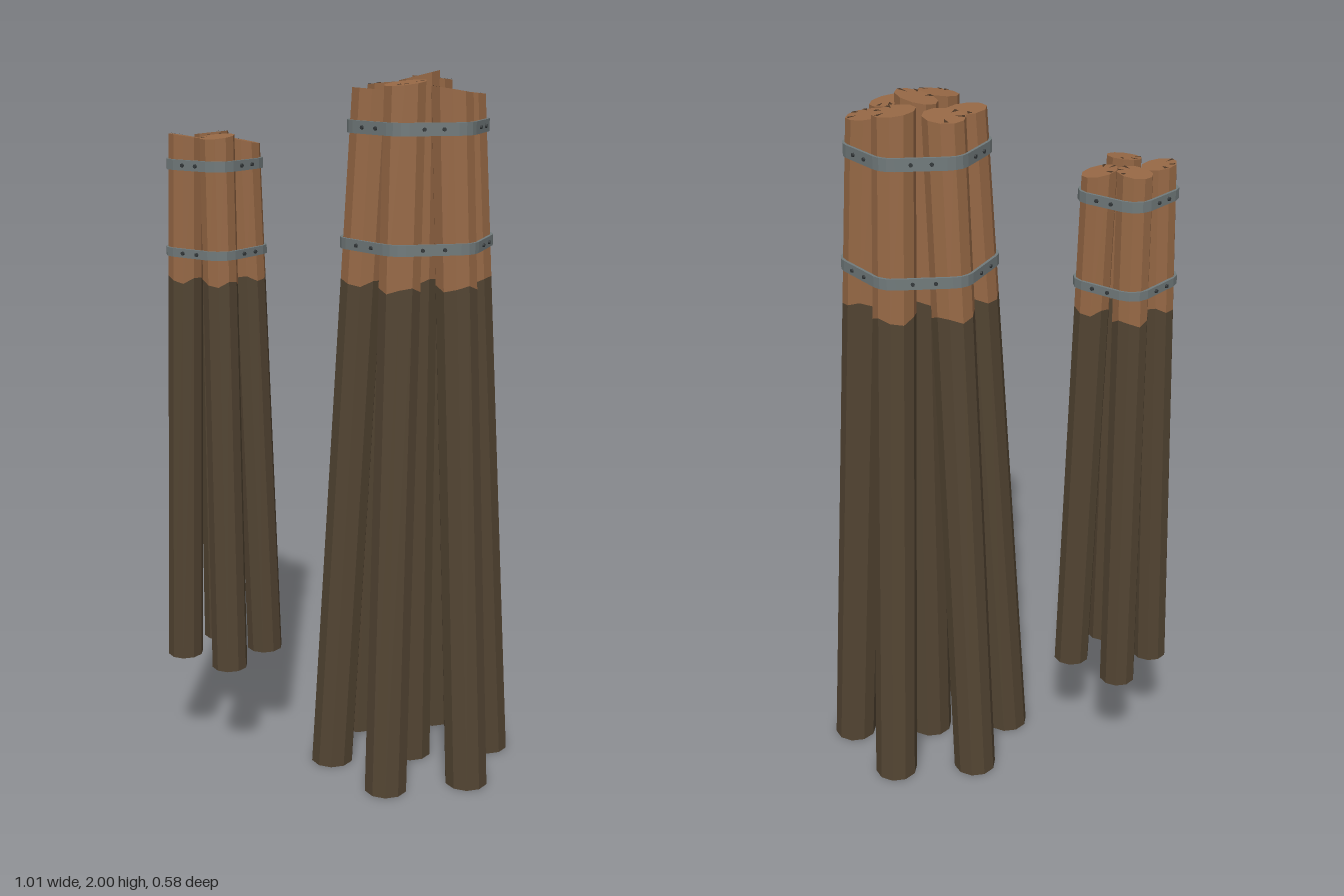
import * as THREE from 'three';

const mat = (name, color, side = THREE.FrontSide) => {
  const m = new THREE.MeshStandardMaterial({ color, side });
  m.name = name;
  return m;
};

const SIDES = 10;
const lerp = THREE.MathUtils.lerp;

export function createModel() {
  const bark = mat('wet dark wood', 0x524432);
  const wood = mat('dry brown wood', 0x966845);
  const crackMat = mat('crack', 0x4a3524, THREE.DoubleSide);
  const steel = mat('grey steel', 0x717a7b);
  const rivetMat = mat('dark rivet', 0x34393b);

  let seed = 7;
  const rand = () => (seed = (seed * 16807) % 2147483647) / 2147483647;

  const add = (parent, name, geo, material) => {
    const mesh = new THREE.Mesh(geo, material);
    mesh.name = name;
    parent.add(mesh);
    return mesh;
  };

  // Leaning log piece: lowY and highY give the height of each end from the rim direction
  function logPiece(axis, lowY, highY) {
    const geo = new THREE.CylinderGeometry(1, 1, 1, SIDES);
    const p = geo.attributes.position;
    for (let i = 0; i < p.count; i++) {
      const dx = p.getX(i), dz = p.getZ(i);
      const y = (p.getY(i) > 0 ? highY : lowY)(dx, dz);
      const c = axis(y);
      p.setXYZ(i, c.x + dx * c.r, y, c.z + dz * c.r);
    }
    const flat = geo.toNonIndexed();
    flat.computeVertexNormals();
    return flat;
  }

  // One log with a dark foot, a brown head, a slanted top and drying cracks
  function addLog(parent, axis, baseY, top) {
    const log = new THREE.Group();
    log.name = 'log';
    parent.add(log);
    const phase = rand() * 6.28;
    const seam = (dx, dz) => 1.438 + 0.009 * Math.sin(3 * Math.atan2(dz, dx) + phase) * Math.hypot(dx, dz);
    const topY = (dx, dz) => top[0] + top[1] * dx + top[2] * dz;
    add(log, 'lowerLog', logPiece(axis, () => baseY, seam), bark);
    add(log, 'upperLog', logPiece(axis, seam, topY), wood);

    const start = rand() * 6.28;
    const pts = [];
    for (let k = 0; k < 3; k++) {
      const a = start + k * (0.7 + rand() * 0.5);
      const corners = [[a - 0.13, 0.94], [a + 0.13, 0.94], [a + 0.1, 0.4 + rand() * 0.2]];
      for (const [ang, rad] of corners) {
        const dx = Math.cos(ang) * rad, dz = Math.sin(ang) * rad;
        const y = topY(dx, dz), c = axis(y);
        pts.push(c.x + dx * c.r, y + 0.002, c.z + dz * c.r);
      }
    }
    const geo = new THREE.BufferGeometry();
    geo.setAttribute('position', new THREE.Float32BufferAttribute(pts, 3));
    // Corners run so that the cracks face upwards
    geo.setIndex([0, 2, 1, 3, 5, 4, 6, 8, 7]);
    geo.computeVertexNormals();
    add(log, 'topCracks', geo, crackMat);
  }

  // Steel strap wrapped round the ring of logs, with two rivets on each straight run
  function addBand(parent, o, angles, y, height) {
    const t = (y - o.baseY) / (o.topY - o.baseY);
    const ring = lerp(o.ring[0], o.ring[1], t), r = lerp(o.radius[0], o.radius[1], t);
    const half = Math.PI / angles.length;
    const outline = (offset) => angles.flatMap((a) => [-1, -0.33, 0.33, 1].map((k) => new THREE.Vector2(
      o.x + Math.cos(a) * ring + Math.cos(a + k * half) * (r + offset),
      o.z + Math.sin(a) * ring + Math.sin(a + k * half) * (r + offset))));
    const outer = outline(0.006);
    const shape = new THREE.Shape(outer);
    shape.holes.push(new THREE.Path(outline(-0.002)));
    const geo = new THREE.ExtrudeGeometry(shape, { depth: height, bevelEnabled: false });
    geo.rotateX(Math.PI / 2).translate(0, y + height / 2, 0);
    const band = new THREE.Group();
    band.name = 'band';
    parent.add(band);
    add(band, 'strap', geo, steel);

    angles.forEach((a, i) => {
      const p = outer[i * 4 + 3], q = outer[(i * 4 + 4) % outer.length];
      for (const s of [0.3, 0.7]) {
        const rivet = add(band, 'rivet', new THREE.CylinderGeometry(0.005, 0.006, 0.01, 8), rivetMat);
        rivet.geometry.rotateZ(-Math.PI / 2);
        rivet.position.set(lerp(p.x, q.x, s), y, lerp(p.y, q.y, s));
        rivet.rotation.y = -(a + half);
      }
    });
  }

  // Bundle of logs leaning inwards round a centre
  function addBundle(parent, o) {
    const group = new THREE.Group();
    group.name = o.name;
    parent.add(group);
    const n = o.tops.length;
    const angles = o.tops.map((_, i) => -0.23 + (i * 2 * Math.PI) / n);
    const axisAt = (a, spread) => (y) => {
      const t = (y - o.baseY) / (o.topY - o.baseY);
      const d = lerp(o.ring[0], o.ring[1], t) * spread;
      return { x: o.x + Math.cos(a) * d, z: o.z + Math.sin(a) * d, r: lerp(o.radius[0], o.radius[1], t) };
    };
    angles.forEach((a, i) => addLog(group, axisAt(a, 1), o.baseY, o.tops[i]));
    if (o.middle) addLog(group, axisAt(0, 0), o.baseY, o.middle);
    for (const [y, h] of o.bands) addBand(group, o, angles, y, h);
  }

  const model = new THREE.Group();
  model.name = 'mooringPiles';

  // Each top is height, slope along x, slope along z
  addBundle(model, {
    name: 'largeBundle', x: 0.213, z: -0.002, baseY: 0, topY: 1.96,
    ring: [0.238, 0.126], radius: [0.062, 0.057],
    tops: [[1.942, -0.006, 0.002], [1.952, -0.009, 0.004], [1.97, 0.006, -0.004],
      [1.95, -0.005, 0.003], [1.96, 0.004, 0.006], [1.975, -0.006, 0.003]],
    middle: [1.985, 0.014, 0.002],
    bands: [[1.855, 0.034], [1.545, 0.03]],
  });
  addBundle(model, {
    name: 'smallBundle', x: -0.34, z: -0.005, baseY: 0.32, topY: 1.83,
    ring: [0.118, 0.077], radius: [0.051, 0.047],
    tops: [[1.812, -0.009, 0.003], [1.828, 0.004, -0.004], [1.825, -0.007, 0.003], [1.828, 0.005, 0.003]],
    bands: [[1.752, 0.028], [1.516, 0.024]],
  });
  return model;
}
